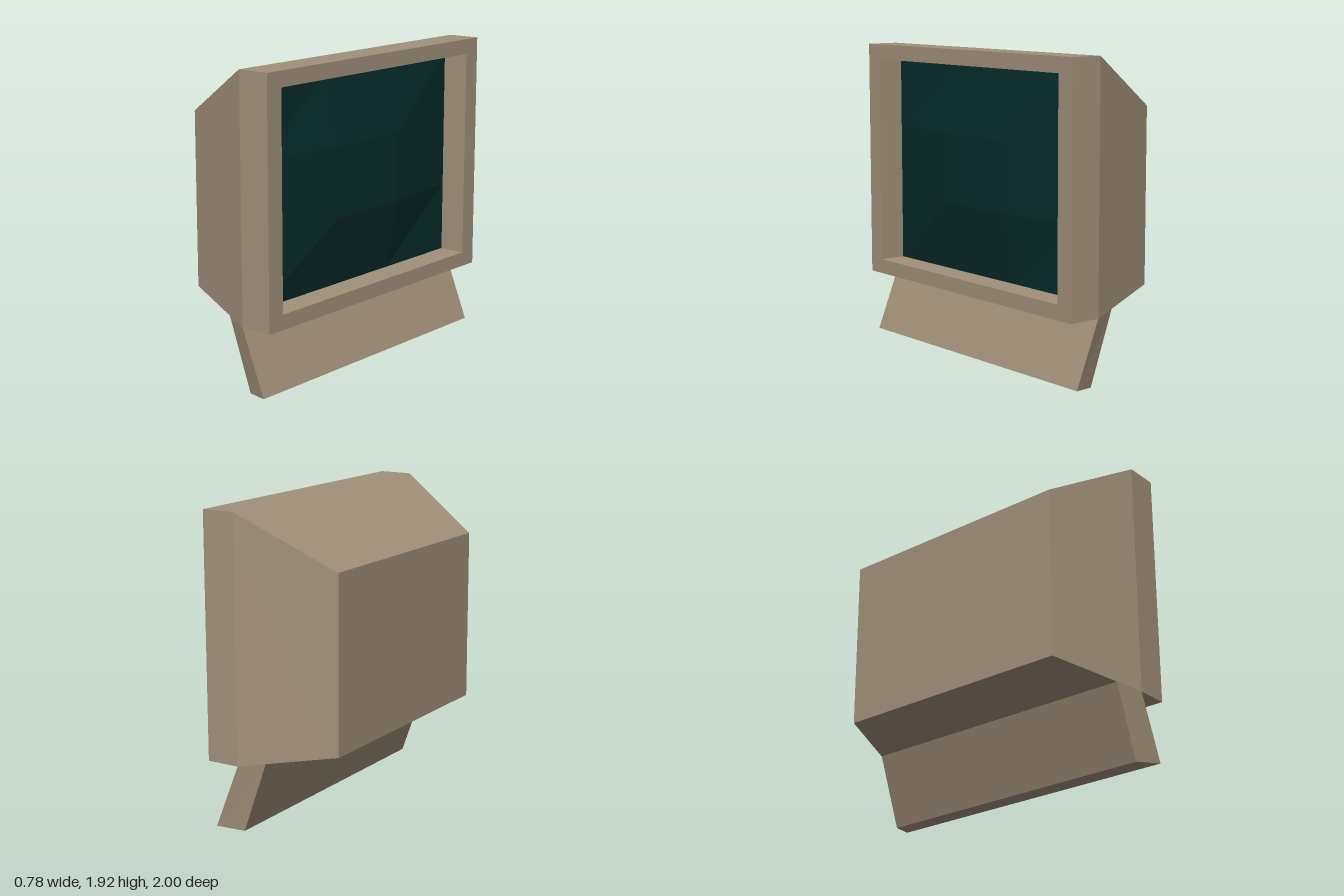
import * as THREE from 'three';

// Flat-shaded skin through four-cornered cross-sections, with optional end caps
function loft(loops, capStart, capEnd) {
  const pos = [];
  const quad = (a, b, c, d) => pos.push(...a, ...b, ...c, ...a, ...c, ...d);
  for (let s = 0; s < loops.length - 1; s++) {
    const a = loops[s], b = loops[s + 1];
    for (let i = 0; i < 4; i++) {
      const j = (i + 1) % 4;
      quad(a[i], a[j], b[j], b[i]);
    }
  }
  if (capStart) quad(...[...loops[0]].reverse());
  if (capEnd) quad(...loops[loops.length - 1]);
  const geo = new THREE.BufferGeometry();
  geo.setAttribute('position', new THREE.Float32BufferAttribute(pos, 3));
  geo.computeVertexNormals();
  return geo;
}

// Upright rectangle at depth x
const rect = (x, y0, y1, z) => [[x, y0, z], [x, y0, -z], [x, y1, -z], [x, y1, z]];

export function createModel() {
  const group = new THREE.Group();
  const casing = new THREE.MeshStandardMaterial({ color: 0xa1907a });
  casing.name = 'beige casing';
  const glass = new THREE.MeshStandardMaterial({ color: 0x062a2a, flatShading: true });
  glass.name = 'dark teal glass';

  const add = (name, geo, mat) => {
    const mesh = new THREE.Mesh(geo, mat);
    mesh.name = name;
    group.add(mesh);
    return mesh;
  };

  // Housing: tapered back, straight collar, bezel, then the recess walls
  add('housing', loft([
    rect(-0.39, 0.513, 1.6, 0.79),
    rect(0.18, 0.42, 1.925, 1),
    rect(0.39, 0.42, 1.925, 1),
    rect(0.39, 0.513, 1.83, 0.883),
    rect(0.22, 0.513, 1.83, 0.883),
  ], true, false), casing);

  // Slanted stand, narrower along its back edge, open where it meets the housing
  const slab = (xf, yf, xb, yb) => [[xf, yf, -1], [xf, yf, 1], [xb, yb, 0.94], [xb, yb, -0.94]];
  add('stand', loft([slab(0.18, 0.42, 0.02, 0.447), slab(0.34, 0.02, 0.18, 0)], false, true), casing);

  // Screen: coarse three-by-three grid whose inner points bulge forward
  const screenGeo = new THREE.PlaneGeometry(1.766, 1.317, 3, 3);
  const p = screenGeo.attributes.position;
  for (let i = 0; i < p.count; i++) {
    const inner = Math.abs(p.getX(i)) < 0.5 && Math.abs(p.getY(i)) < 0.4;
    p.setZ(i, inner ? 0.08 : 0);
  }
  screenGeo.rotateY(Math.PI / 2);
  screenGeo.computeVertexNormals();
  add('screen', screenGeo, glass).position.set(0.22, 1.1715, 0);

  return group;
}
